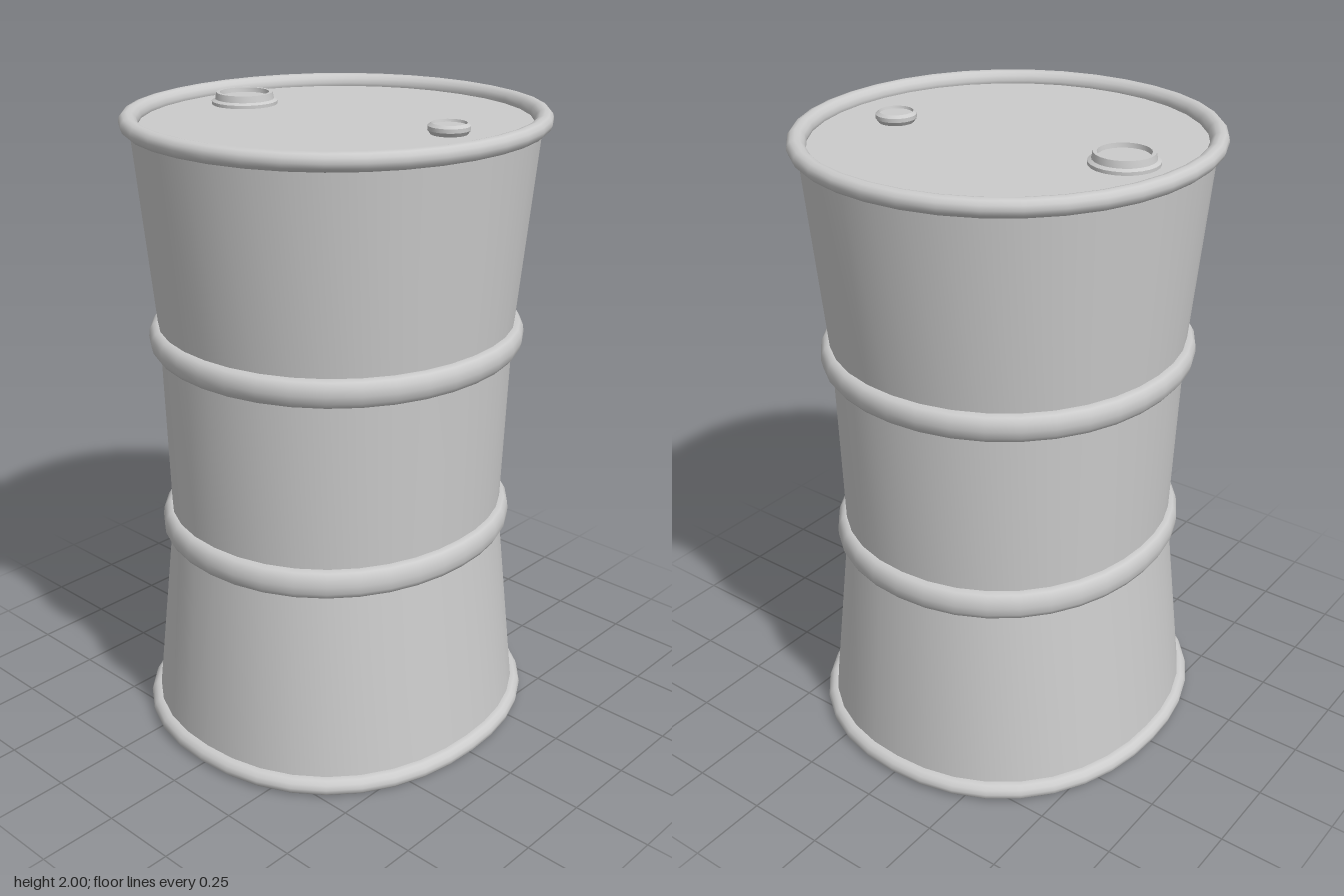
import * as THREE from 'three';
import { mergeVertices } from 'three/addons/utils/BufferGeometryUtils.js';

const SEGMENTS = 36;

// Body outline by height: [y, half width x, half depth z, squareness exponent]
const LEVELS = [
  [0, 0.611, 0.576, 2.18],
  [0.7, 0.545, 0.508, 2.1],
  [1.31, 0.552, 0.537, 2.07],
  [2, 0.617, 0.599, 2.06],
];

// Radius of the rounded-square outline at a height and direction
function outline(y, angle) {
  let i = 0;
  while (i < LEVELS.length - 2 && y > LEVELS[i + 1][0]) i++;
  const lo = LEVELS[i], hi = LEVELS[i + 1];
  const t = (y - lo[0]) / (hi[0] - lo[0]);
  const [a, b, n] = [1, 2, 3].map((k) => THREE.MathUtils.lerp(lo[k], hi[k], t));
  const sx = Math.abs(Math.sin(angle)) / a, sz = Math.abs(Math.cos(angle)) / b;
  return (sx ** n + sz ** n) ** (-1 / n);
}

// Turned profile with smooth, seamless normals
function turned(points, segments) {
  const g = new THREE.LatheGeometry(points.map(([r, y]) => new THREE.Vector2(r, y)), segments);
  g.deleteAttribute('uv');
  return g;
}

function smooth(g) {
  g.deleteAttribute('normal');
  const merged = mergeVertices(g, 1e-5);
  merged.computeVertexNormals();
  return merged;
}

// Profile radii are fractions of the outline
function hull(points) {
  const g = turned(points, SEGMENTS);
  const p = g.attributes.position;
  for (let i = 0; i < p.count; i++) {
    const r = outline(p.getY(i), Math.atan2(p.getX(i), p.getZ(i)));
    p.setX(i, p.getX(i) * r);
    p.setZ(i, p.getZ(i) * r);
  }
  return smooth(g);
}

// Closed oval section for a hoop
function hoop(y, width, height) {
  const pts = [];
  for (let i = 0; i <= 12; i++) {
    const a = (i / 12) * Math.PI * 2;
    pts.push([1 + width * Math.cos(a), y + height * Math.sin(a)]);
  }
  return hull(pts);
}

export function createModel() {
  const group = new THREE.Group();
  const material = new THREE.MeshStandardMaterial({ color: 0xcccccc });
  const add = (name, geometry, parent = group) => {
    const mesh = new THREE.Mesh(geometry, material);
    mesh.name = name;
    parent.add(mesh);
  };

  // Three tapering wall panels, parted by the hoops
  add('lowerWall', hull([[1, 0.03], [1, 0.7]]));
  add('middleWall', hull([[1, 0.7], [1, 1.31]]));
  add('upperWall', hull([[1, 1.31], [1, 1.972]]));

  // End rims and reinforcing hoops
  add('bottomRim', hoop(0.028, 0.048, 0.028));
  add('topRim', hoop(1.972, 0.046, 0.028));
  add('lowerHoop', hoop(0.7, 0.058, 0.046));
  add('upperHoop', hoop(1.31, 0.06, 0.045));

  // Recessed end plates
  add('lid', hull([[1, 1.962], [0, 1.962]]));
  add('base', hull([[0, 0.022], [1, 0.022]]));

  // Bungs: each pair of points is a hard-edged band
  const bung = (name, x, z, profile) => {
    const part = new THREE.Group();
    part.name = name;
    part.position.set(x, 1.96, z);
    for (let i = 0; i < profile.length - 1; i++) {
      add(name + 'Band', smooth(turned([profile[i], profile[i + 1]], 24)), part);
    }
    group.add(part);
  };
  bung('largeBung', 0, -0.395, [
    [0.103, 0], [0.103, 0.012], [0.092, 0.018], [0.088, 0.038],
    [0.077, 0.038], [0.075, 0.024], [0, 0.024],
  ]);
  bung('smallBung', 0.067, 0.37, [
    [0.052, 0], [0.062, 0.014], [0.062, 0.026], [0.052, 0.034],
    [0.05, 0.026], [0, 0.026],
  ]);

  return group;
}
